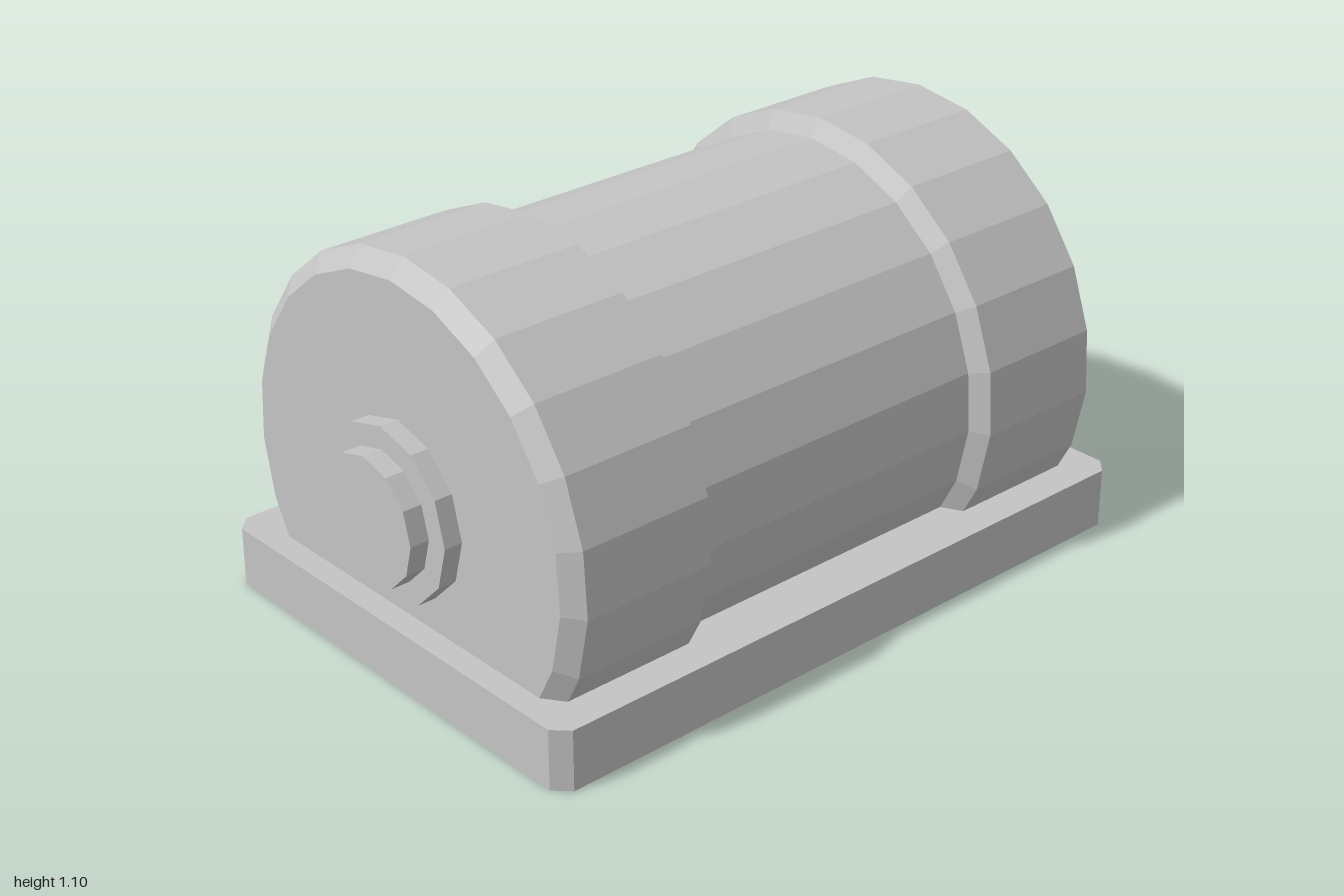
import * as THREE from 'three';

const AXIS_Y = 0.46, BASE_H = 0.165, CUT_Y = 0.15, SIDES = 23;

// Cross-section of the 23-sided drum, cut flat where it sinks into the base
function section(r, z) {
  const at = (i) => {
    const a = (i * Math.PI * 2) / SIDES;
    return new THREE.Vector3(r * Math.sin(a), AXIS_Y + r * Math.cos(a), z);
  };
  const cut = (i, j) => {
    const p = at(i), q = at(j);
    return p.lerp(q, (CUT_Y - p.y) / (q.y - p.y));
  };
  const pts = [cut(-7, -8)];
  for (let i = -7; i <= 7; i++) pts.push(at(i));
  pts.push(cut(7, 8));
  return pts;
}

// Closed loft through [z, radius] rings, ordered from back to front
function drumGeometry(rings) {
  const loops = rings.map(([z, r]) => section(r, z));
  const n = loops[0].length;
  const tris = [];
  for (let j = 0; j < loops.length - 1; j++) {
    for (let i = 0; i < n; i++) {
      const k = (i + 1) % n;
      const a = loops[j][i], b = loops[j][k], c = loops[j + 1][k], d = loops[j + 1][i];
      tris.push(a, d, c, a, c, b);
    }
  }
  const back = loops[0], front = loops[loops.length - 1];
  for (let i = 1; i < n - 1; i++) {
    tris.push(back[0], back[i], back[i + 1]);
    tris.push(front[0], front[i + 1], front[i]);
  }
  const geometry = new THREE.BufferGeometry().setFromPoints(tris);
  geometry.computeVertexNormals();
  return geometry;
}

// Rectangular plate with chamfered vertical corners
function baseGeometry(w, d, c) {
  const shape = new THREE.Shape([
    [w - c, -d], [w, -d + c], [w, d - c], [w - c, d],
    [-w + c, d], [-w, d - c], [-w, -d + c], [-w + c, -d],
  ].map(([x, y]) => new THREE.Vector2(x, y)));
  return new THREE.ExtrudeGeometry(shape, { depth: BASE_H, bevelEnabled: false }).rotateX(-Math.PI / 2);
}

export function createModel() {
  const model = new THREE.Group();
  model.name = 'drumOnBase';
  const grey = new THREE.MeshStandardMaterial({ color: 0xc4c4c4, flatShading: true });
  grey.name = 'grey';

  const add = (name, geometry) => {
    const mesh = new THREE.Mesh(geometry, grey);
    mesh.name = name;
    model.add(mesh);
    return mesh;
  };

  add('base', baseGeometry(0.66, 0.965, 0.04));
  add('barrel', drumGeometry([[-0.46, 0.59], [0.46, 0.59]]));

  // Wide bands with bevelled rims, and stepped hubs, at both ends
  const band = [[0.455, 0.59], [0.483, 0.64], [0.858, 0.64], [0.897, 0.59]];
  for (const [side, s] of [['front', 1], ['rear', -1]]) {
    const rings = band.map(([z, r]) => [z * s, r]);
    add(side + 'Band', drumGeometry(s > 0 ? rings : rings.reverse()));
    for (const [part, r, z] of [['HubFlange', 0.233, 0.947], ['HubPin', 0.172, 1]]) {
      const depth = z - 0.88;
      const hub = add(side + part, new THREE.CylinderGeometry(r, r, depth, 12).rotateX(Math.PI / 2));
      hub.position.set(0, AXIS_Y, s * (z - depth / 2));
    }
  }
  return model;
}
